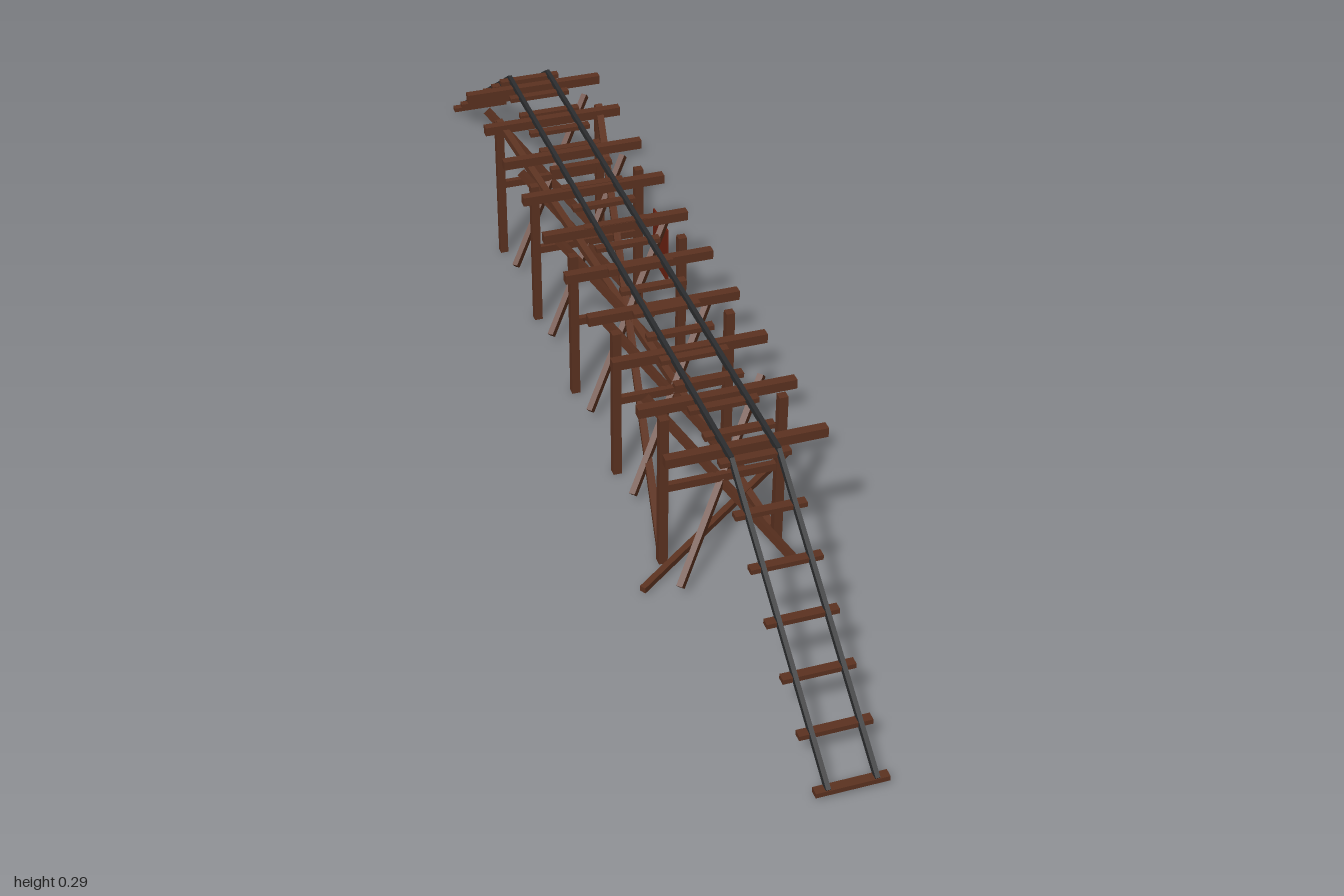
import * as THREE from 'three';

const wood = new THREE.MeshStandardMaterial({ color: 0x5c3220 });
wood.name = 'wood';
const iron = new THREE.MeshStandardMaterial({ color: 0x2c2d2f });
iron.name = 'rail iron';
const red = new THREE.MeshStandardMaterial({ color: 0x6a2010 });
red.name = 'sign red';

const CX = -0.011; // centre line of the track
const HALF = 0.0935; // half the distance between posts

export function createModel() {
  const model = new THREE.Group();
  model.name = 'trestleTrack';

  const box = (name, mat, w, h, d, x, y, z) => {
    const mesh = new THREE.Mesh(new THREE.BoxGeometry(w, h, d), mat);
    mesh.name = name;
    mesh.position.set(x, y, z);
    model.add(mesh);
    return mesh;
  };

  // Square bar running between two points
  const bar = (name, mat, w, h, a, b) => {
    const from = new THREE.Vector3(...a);
    const to = new THREE.Vector3(...b);
    const mid = from.clone().add(to).multiplyScalar(0.5);
    const mesh = box(name, mat, w, h, from.distanceTo(to), mid.x, mid.y, mid.z);
    mesh.lookAt(to);
    return mesh;
  };

  // Rails: level deck with a ramp at each end
  for (const x of [CX - 0.036, CX + 0.036]) {
    bar('deckRail', iron, 0.007, 0.01, [x, 0.286, 0.598], [x, 0.286, -0.598]);
    for (const s of [-1, 1]) {
      bar('rampRail', iron, 0.007, 0.01, [x, 0.286, s * 0.596], [x, 0.017, s * 0.997]);
    }
  }

  // Ties on the deck and the ramps
  const tie = (y, z) => box('tie', wood, 0.109, 0.008, 0.014, CX, y, z);
  for (let i = -9; i <= 9; i++) tie(0.28, i * 0.0661);
  for (let i = 1; i <= 6; i++) {
    for (const s of [-1, 1]) tie(0.28 - i * 0.0442, s * (0.595 + i * 0.0663));
  }

  // Wide beams under the deck
  for (let i = 0; i < 10; i++) {
    box('deckBeam', wood, 0.25, 0.016, 0.015, CX, 0.275, -0.567 + i * 0.1253);
  }

  // Trestle bents: two posts, a middle beam and crossed sloping braces
  for (let i = -2; i <= 2; i++) {
    const z = i * 0.2315;
    box('middleBeam', wood, 0.196, 0.013, 0.01, CX, 0.146, z);
    for (const s of [-1, 1]) {
      box('post', wood, 0.014, 0.273, 0.014, CX + s * HALF, 0.1395, z);
      bar('bentBrace', wood, 0.01, 0.012,
        [CX + s * HALF, 0.022, z + 0.087], [CX - s * HALF, 0.253, z - 0.087]);
    }
  }

  // Long crossed braces through the whole trestle
  for (const s of [-1, 1]) {
    bar('longBrace', wood, 0.012, 0.012,
      [CX + s * HALF, 0.008, 0.463], [CX - s * HALF, 0.276, -0.463]);
  }

  // Loose plank on the ground
  bar('loosePlank', wood, 0.01, 0.01, [-0.156, 0.011, 0.526], [0.155, 0.043, 0.315]);

  // Sign panel
  box('signPanel', red, 0.003, 0.102, 0.076, 0.091, 0.177, -0.133);

  return model;
}
